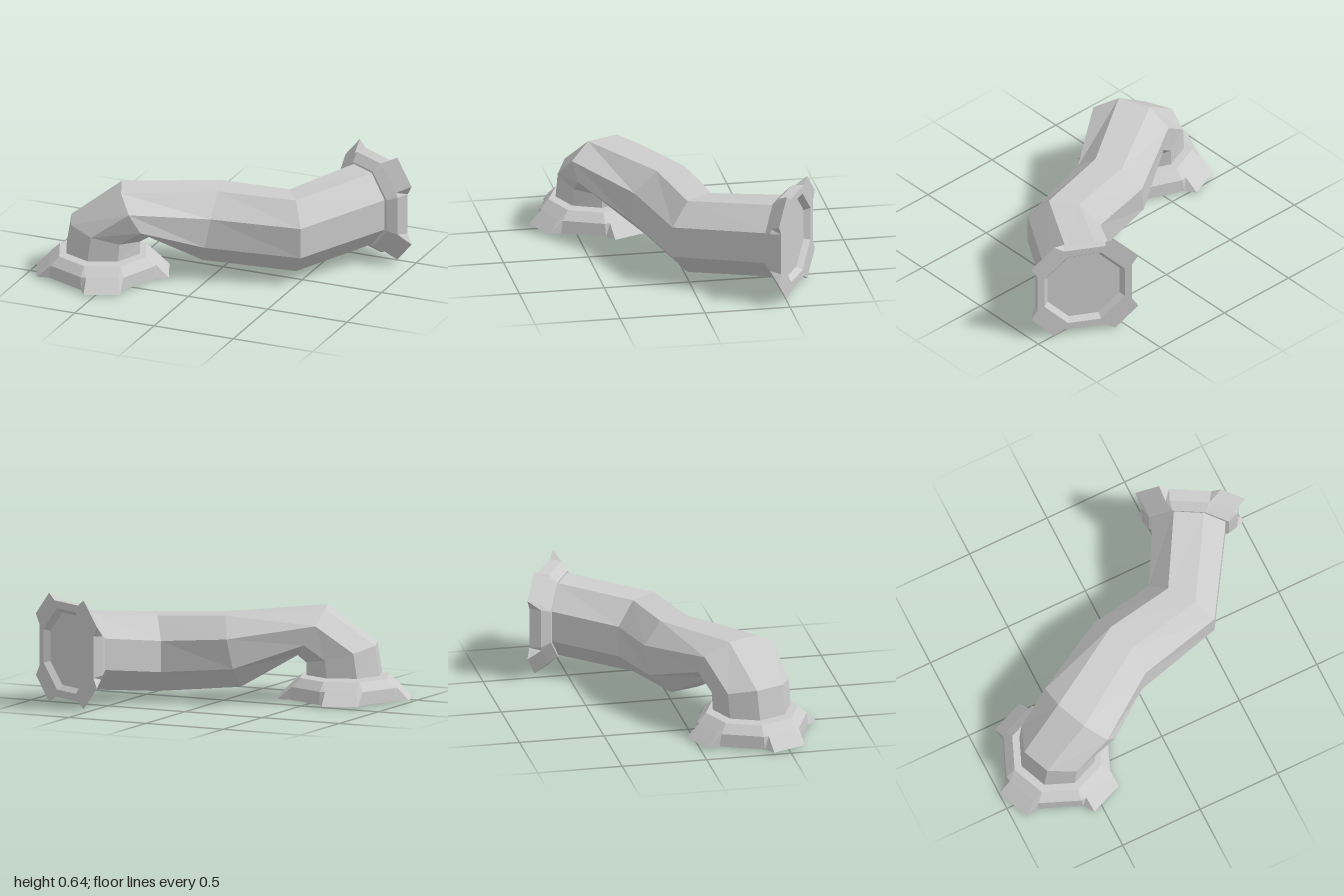
import * as THREE from 'three';

const V = (x, y, z) => new THREE.Vector3(x, y, z);
const material = new THREE.MeshStandardMaterial({ color: 0xcccccc, flatShading: true });

// Skins a list of rings (counter-clockwise about the travel direction) and caps both ends.
function loft(rings) {
  const pos = [];
  const tri = (a, b, c) => {
    const area = b.clone().sub(a).cross(c.clone().sub(a)).length();
    if (area > 1e-7) pos.push(...a.toArray(), ...b.toArray(), ...c.toArray());
  };
  const n = rings[0].length;
  const middle = ring => ring.reduce((s, p) => s.add(p), V(0, 0, 0)).divideScalar(n);
  const first = rings[0], last = rings[rings.length - 1];
  const start = middle(first), end = middle(last);
  for (let i = 0; i < n; i++) {
    const j = (i + 1) % n;
    tri(start, first[j], first[i]);
    tri(end, last[i], last[j]);
    for (let k = 0; k + 1 < rings.length; k++) {
      const a = rings[k], b = rings[k + 1];
      tri(a[i], a[j], b[j]);
      tri(a[i], b[j], b[i]);
    }
  }
  const geometry = new THREE.BufferGeometry();
  geometry.setAttribute('position', new THREE.Float32BufferAttribute(pos, 3));
  geometry.computeVertexNormals();
  return geometry;
}

function mesh(name, geometry) {
  const m = new THREE.Mesh(geometry, material);
  m.name = name;
  return m;
}

// Octagonal pipe section: centre, sideways half-extent, upward half-extent.
function section([c, side, up]) {
  return Array.from({ length: 8 }, (_, i) => {
    const a = -(i + 0.5) * Math.PI / 4, k = 1 / Math.cos(Math.PI / 8);
    return c.clone().addScaledVector(side, k * Math.cos(a)).addScaledVector(up, k * Math.sin(a));
  });
}

// Flange ring with four corner lobes: [distance, half width] of lobe tip and lobe root.
function lobedRing(y, tip, root) {
  const ring = [];
  for (let k = 0; k < 4; k++) {
    const a = Math.PI / 4 + k * Math.PI / 2, c = Math.cos(a), s = Math.sin(a);
    for (const [d, w] of [[root[0], -root[1]], [tip[0], -tip[1]], tip, root])
      ring.push(V(d * c - w * s, y, -(d * s + w * c)));
  }
  return ring;
}

function octagonRing(y, r) {
  const p = [r * Math.cos(Math.PI / 8), r * Math.sin(Math.PI / 8)];
  return lobedRing(y, p, p);
}

// Flange with its mating face at y = 0; optionally with a shallow bore.
function flange(name, bored) {
  const rings = [
    lobedRing(0, [0.383, 0.106], [0.31, 0.122]),
    lobedRing(0.075, [0.307, 0.092], [0.3, 0.124]),
    octagonRing(0.125, 0.272),
  ];
  if (bored) rings.unshift(octagonRing(0.035, 0.25), octagonRing(0, 0.28));
  return mesh(name, loft(rings));
}

export function createModel() {
  const group = new THREE.Group();
  group.name = 'elbowPipe';

  // Directions of the elbow: sideways and forward
  const t = V(0.383, 0, 0.924), f = V(0.924, 0, -0.383);
  const scaled = (v, s, y = 0) => v.clone().multiplyScalar(s).add(V(0, y, 0));

  // Directions of the outlet
  const across = V(0.87, 0, 0.493), inward = V(-0.493, 0, 0.87);
  const outlet = V(0.7225, 0.322, -0.5925);

  // Bent pipe
  const sections = [
    [V(-0.603, 0.155, 0.352), scaled(t, 0.2125), scaled(f, -0.2125)],
    [V(-0.59, 0.28, 0.345), scaled(t, 0.2125), scaled(f, -0.2, 0.05)],
    [V(-0.426, 0.405, 0.295), scaled(t, 0.24), scaled(f, -0.08, 0.135)],
    [V(-0.055, 0.302, 0.04), V(0.065, 0, 0.205), V(0.036, 0.21, -0.025)],
    [V(0.41, 0.272, -0.07), V(0.125, 0, 0.175), V(0, 0.22, 0)],
    [outlet.clone().addScaledVector(inward, 0.1), scaled(across, 0.2125), V(0, 0.222, 0)],
  ];
  group.add(mesh('pipe', loft(sections.map(section))));

  // Flange on the ground
  const base = flange('baseFlange', false);
  base.position.set(-0.605, 0.015, 0.352);
  base.rotation.y = -Math.PI / 8;
  group.add(base);

  // Upright flange at the outlet
  const end = flange('outletFlange', true);
  end.quaternion.setFromRotationMatrix(
    new THREE.Matrix4().makeBasis(across, inward, V(0, -1, 0)));
  end.position.copy(outlet);
  end.scale.setScalar(0.92);
  group.add(end);

  return group;
}
